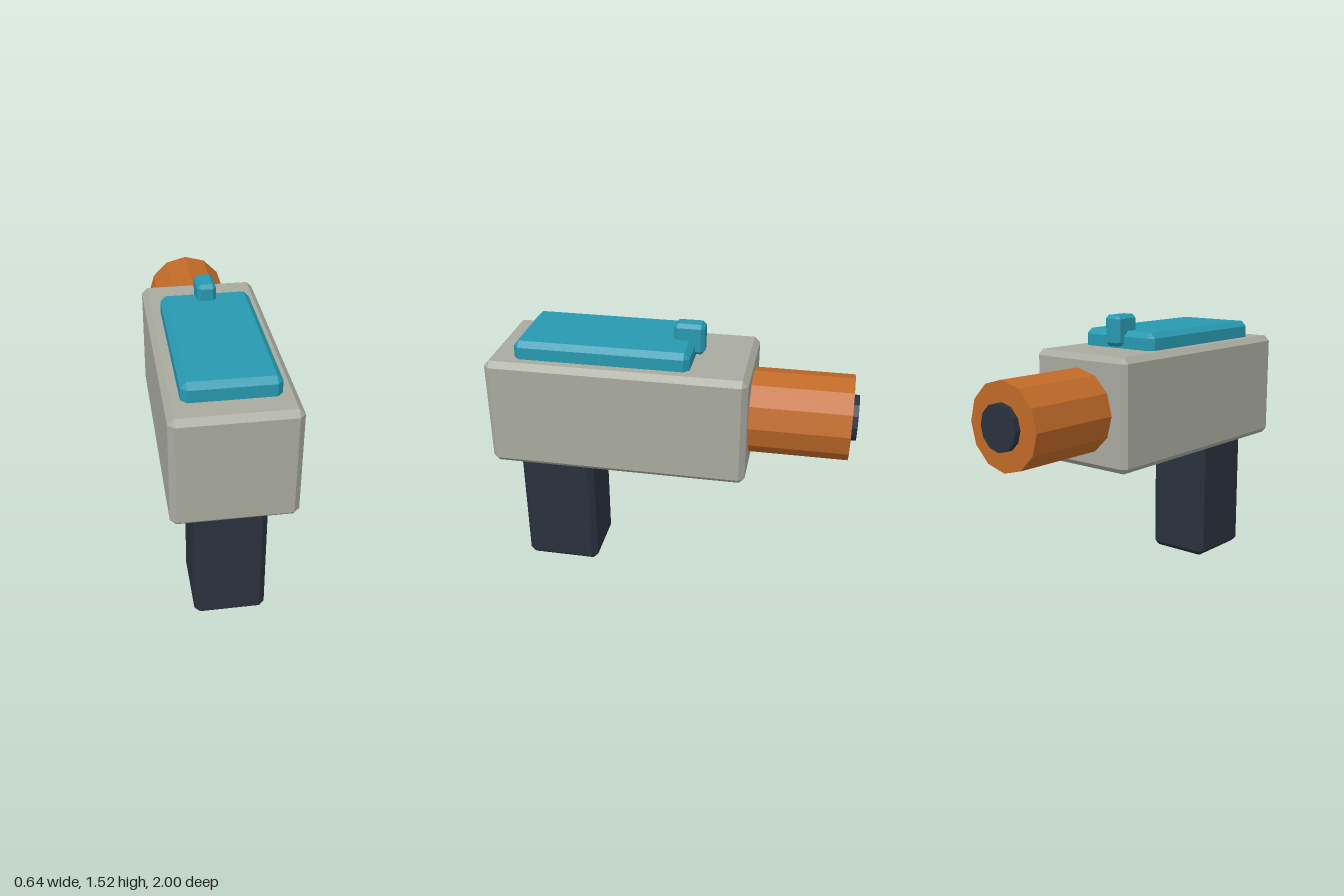
import * as THREE from 'three';
import { ConvexGeometry } from 'three/addons/geometries/ConvexGeometry.js';

const material = (color) => new THREE.MeshStandardMaterial({ color, flatShading: true });

// Box with every edge and corner cut by a chamfer c; ranges are [min, max]
function chamferBox(name, mat, xr, yr, zr, c) {
  const mid = [xr, yr, zr].map(([a, b]) => (a + b) / 2);
  const half = [xr, yr, zr].map(([a, b]) => (b - a) / 2);
  const points = [];
  for (const sx of [-1, 1]) for (const sy of [-1, 1]) for (const sz of [-1, 1]) {
    for (let outer = 0; outer < 3; outer++) {
      const p = [sx, sy, sz].map((s, i) => s * (half[i] - (i === outer ? 0 : c)));
      points.push(new THREE.Vector3(...p));
    }
  }
  const mesh = new THREE.Mesh(new ConvexGeometry(points), mat);
  mesh.name = name;
  mesh.position.set(...mid);
  return mesh;
}

// Twelve-sided cylinder lying along z, with a corner pointing straight up
function barrelPart(name, mat, radius, z0, z1) {
  const geometry = new THREE.CylinderGeometry(radius, radius, z1 - z0, 12).rotateX(Math.PI / 2);
  const mesh = new THREE.Mesh(geometry, mat);
  mesh.name = name;
  mesh.position.set(0, 1.035, (z0 + z1) / 2);
  return mesh;
}

export function createModel() {
  const model = new THREE.Group();
  model.name = 'handheldTool';

  const grey = material(0xa8aa9f);
  const teal = material(0x2899b0);
  const orange = material(0xc06a28);
  const dark = material(0x2a313d);

  model.add(
    // Main housing and handle
    chamferBox('body', grey, [-0.32, 0.32], [0.727, 1.342], [-0.425, 1], 0.031),
    chamferBox('grip', dark, [-0.19, 0.19], [0, 0.78], [0.46, 0.885], 0.031),
    // Top plate with its sight
    chamferBox('topPlate', teal, [-0.243, 0.243], [1.29, 1.438], [-0.107, 0.85], 0.03),
    chamferBox('sight', teal, [-0.052, 0.052], [1.355, 1.525], [-0.157, 0.01], 0.02),
    // Barrel and the dark disc at its end
    barrelPart('barrel', orange, 0.235, -0.967, -0.38),
    barrelPart('muzzle', dark, 0.125, -1, -0.93)
  );
  return model;
}
